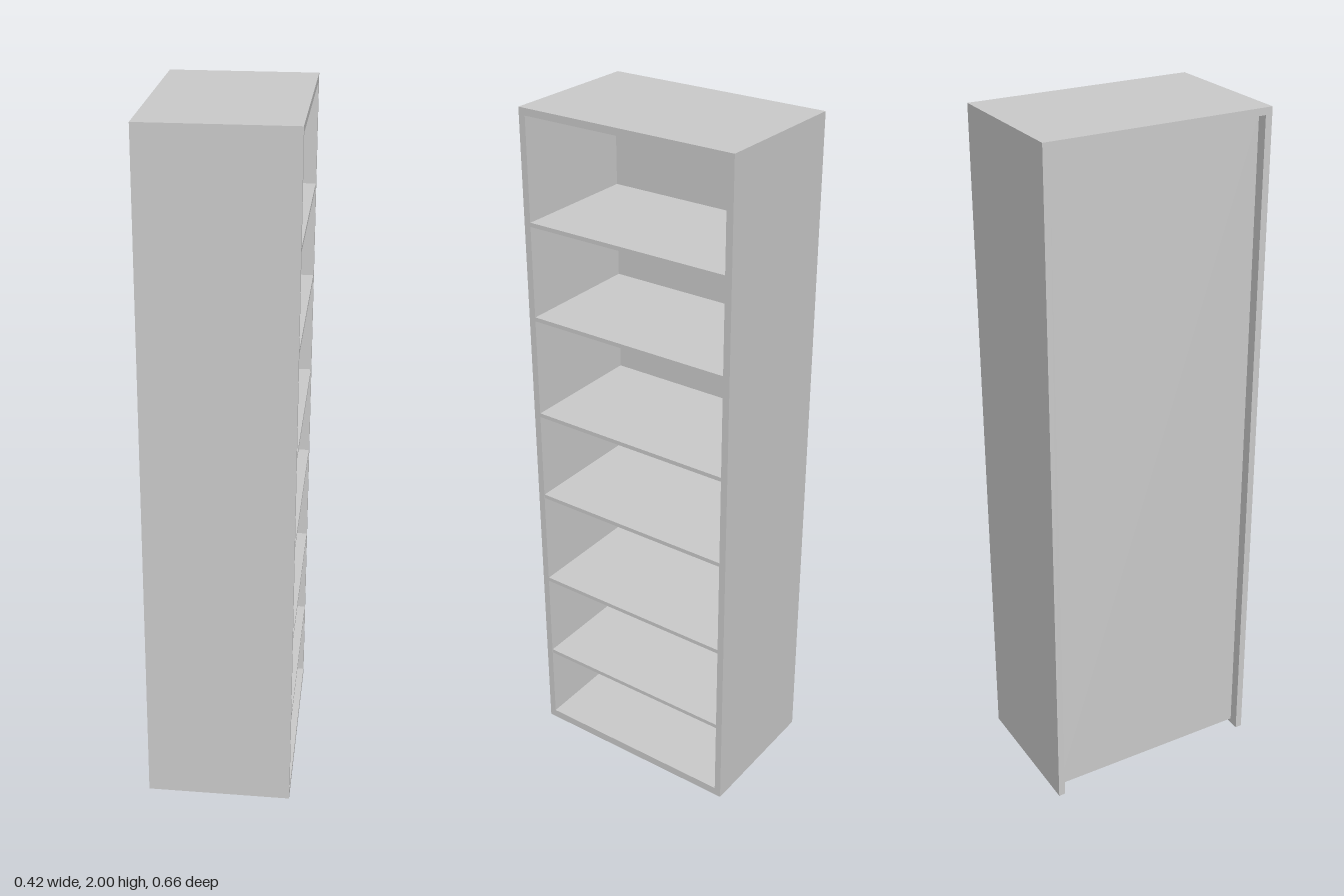
import * as THREE from 'three';

const material = new THREE.MeshStandardMaterial({ color: 0xcccccc });

// Box given by its min and max corners
function board(name, [x0, y0, z0], [x1, y1, z1]) {
  const geometry = new THREE.BoxGeometry(x1 - x0, y1 - y0, z1 - z0);
  geometry.translate((x0 + x1) / 2, (y0 + y1) / 2, (z0 + z1) / 2);
  const mesh = new THREE.Mesh(geometry, material);
  mesh.name = name;
  return mesh;
}

export function createModel() {
  const group = new THREE.Group();
  group.name = 'bookcase';

  const X = 0.21, Z = 0.33, H = 2;   // half depth, half width, height
  const t = 0.02;                    // carcass thickness
  const inner = Z - t;
  const backX = -X + 0.03;           // rear face of the recessed back panel
  const floorY = 0.025;

  // Side panels, full height and depth
  group.add(board('sidePanelLeft', [-X, 0, inner], [X, H, Z]));
  group.add(board('sidePanelRight', [-X, 0, -Z], [X, H, -inner]));

  // Top, bottom and the low rail under the opening
  group.add(board('topPanel', [-X, H - t, -inner], [X, H, inner]));
  group.add(board('bottomPanel', [backX, 0.015, -inner], [X - t, floorY, inner]));
  group.add(board('bottomRail', [X - t, 0, -inner], [X, floorY, inner]));

  // Thin back panel set in from the rear edges
  group.add(board('backPanel', [backX, floorY, -inner], [backX + 0.01, H - t, inner]));

  // Shelves at alternating spacing
  for (const y of [0.265, 0.54, 0.838, 1.11, 1.41, 1.685]) {
    group.add(board('shelf', [backX + 0.005, y - 0.006, -inner], [X - 0.001, y + 0.006, inner]));
  }

  return group;
}
